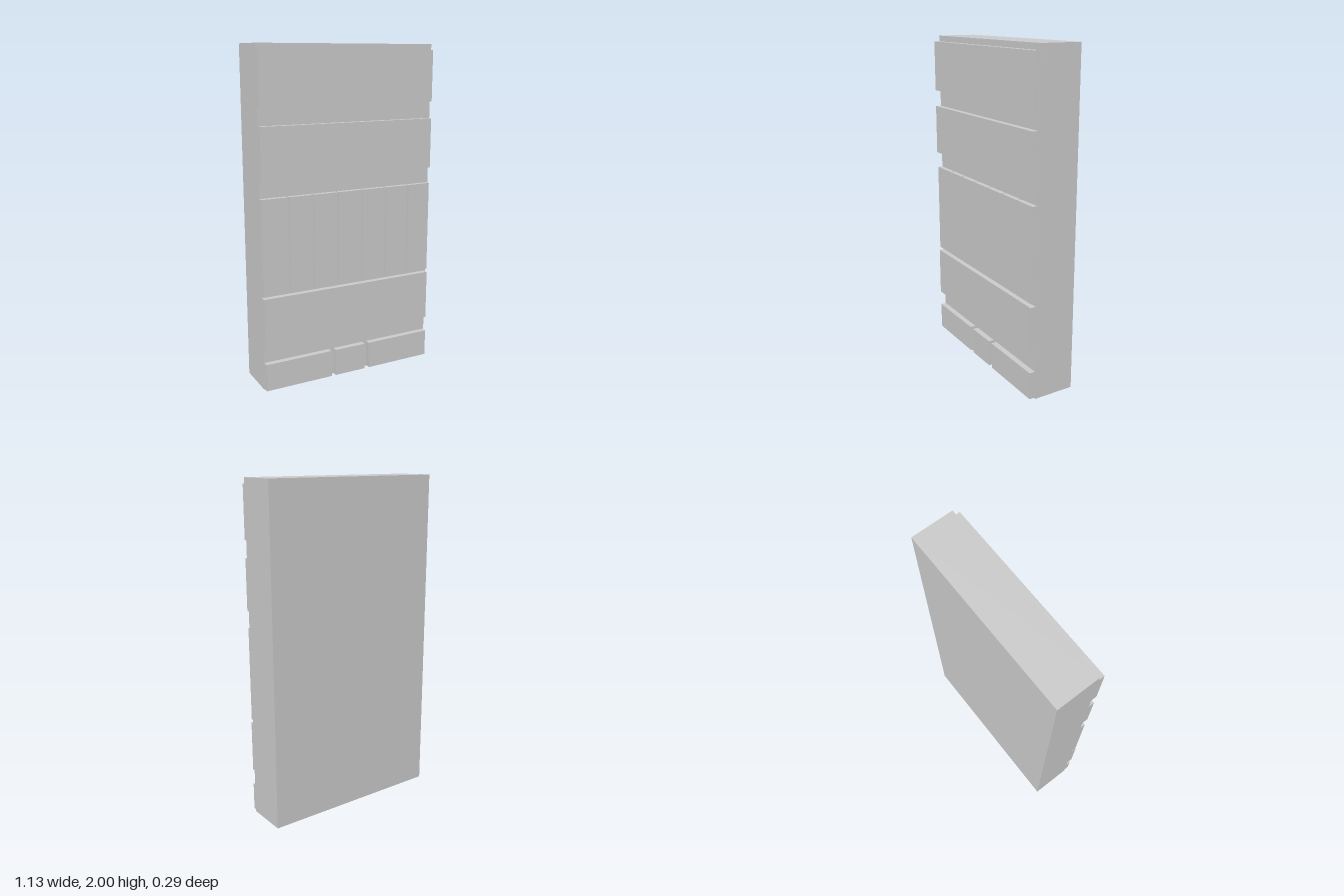
import * as THREE from 'three';

const FRONT = 0.108; // front face of the main slab

export function createModel() {
  const group = new THREE.Group();
  const material = new THREE.MeshStandardMaterial({ color: 0xcccccc, flatShading: true });

  // Box given by its two extreme corners
  function box(name, x0, x1, y0, y1, z0, z1) {
    const mesh = new THREE.Mesh(new THREE.BoxGeometry(x1 - x0, y1 - y0, z1 - z0), material);
    mesh.position.set((x0 + x1) / 2, (y0 + y1) / 2, (z0 + z1) / 2);
    mesh.name = name;
    group.add(mesh);
    return mesh;
  }

  // Main slab
  box('slab', -0.565, 0.565, 0, 2, -0.145, FRONT);

  // Wide horizontal panels
  for (const [y0, y1] of [[0.265, 0.573], [1.255, 1.558], [1.66, 1.965]]) {
    box('widePanel', -0.565, 0.555, y0, y1, FRONT, 0.143);
  }

  // Row of upright boards with narrow gaps
  const edges = [-0.569, -0.4, -0.245, -0.085, 0.078, 0.24, 0.4, 0.559];
  for (let i = 0; i < 7; i++) {
    box('uprightBoard', edges[i] + 0.004, edges[i + 1] - 0.004, 0.594, 1.155, FRONT, 0.138);
  }

  // Base blocks; the outer two lean slightly away from the middle at the top
  const blocks = [[-0.561, -0.132, -0.005], [-0.104, 0.098, 0], [0.131, 0.556, -0.004]];
  for (const [x0, x1, lean] of blocks) {
    const block = box('baseBlock', x0, x1, 0.004, 0.17, FRONT, 0.143);
    const pos = block.geometry.attributes.position;
    const inner = x0 < 0 ? 1 : -1; // side that faces the middle
    for (let i = 0; i < pos.count; i++) {
      if (pos.getY(i) > 0 && pos.getX(i) * inner > 0) pos.setX(i, pos.getX(i) + lean);
    }
    block.geometry.computeVertexNormals();
  }

  return group;
}
